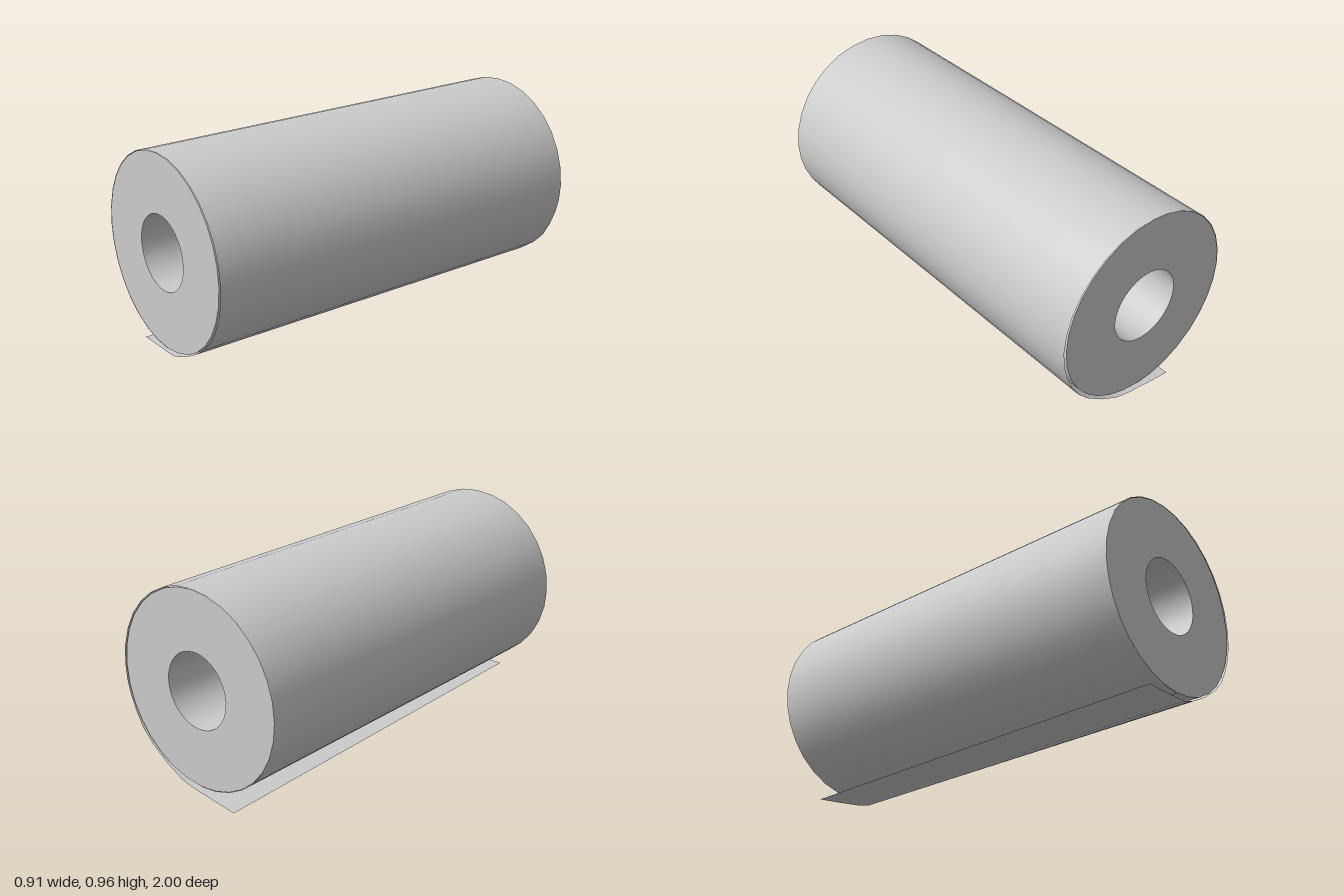
import * as THREE from 'three';
import { toCreasedNormals } from 'three/addons/utils/BufferGeometryUtils.js';

const CX = -0.005, CY = 0.508, R = 0.45, BORE = 0.175, LENGTH = 2, SIDES = 32;

// Thick hollow cylinder lying along z
function makeRoll(material) {
  const ring = new THREE.Shape();
  ring.absarc(0, 0, R, 0, Math.PI * 2, false);
  const hole = new THREE.Path();
  hole.absarc(0, 0, BORE, 0, Math.PI * 2, true);
  ring.holes.push(hole);
  const geometry = new THREE.ExtrudeGeometry(ring, {
    depth: LENGTH, bevelEnabled: false, curveSegments: SIDES / 2,
  });
  geometry.translate(CX, CY, -LENGTH / 2);
  const roll = new THREE.Mesh(toCreasedNormals(geometry, 0.6), material);
  roll.name = 'roll';
  return roll;
}

// Outer layer: wraps clockwise from the bottom, then leaves the roll on the right
function makeSheet(material) {
  // Each station is [x, y at front, y at back]
  const stations = [];
  for (let i = 0; i <= 24; i++) {
    const a = -Math.PI / 2 - (i / SIDES) * Math.PI * 2;
    const lift = 0.003 + 0.009 * Math.max(0, (i - 16) / 8);
    const x = CX + (R + lift) * Math.cos(a);
    const y = CY + (R + lift) * Math.sin(a);
    stations.push([x, y, y]);
  }
  // Free tail, slightly twisted so the back edge hangs lower
  stations.push(
    [0.451, 0.43, 0.43], [0.433, 0.36, 0.36], [0.40, 0.285, 0.282],
    [0.36, 0.223, 0.215], [0.30, 0.167, 0.155], [0.21, 0.105, 0.092],
    [0.12, 0.062, 0.046], [0.05, 0.038, 0.03], [-0.07, 0.035, 0.014], [-0.2, 0.034, 0],
  );

  const rows = 8, positions = [], index = [];
  stations.forEach(([x, front, back], s) => {
    for (let j = 0; j <= rows; j++) {
      const t = j / rows;
      positions.push(x, THREE.MathUtils.lerp(back, front, t), (t - 0.5) * LENGTH);
      if (s > 0 && j > 0) {
        const d = s * (rows + 1) + j, b = d - rows - 1;
        index.push(b - 1, b, d, b - 1, d, d - 1);
      }
    }
  });
  const geometry = new THREE.BufferGeometry();
  geometry.setAttribute('position', new THREE.Float32BufferAttribute(positions, 3));
  geometry.setIndex(index);
  geometry.computeVertexNormals();
  const sheet = new THREE.Mesh(geometry, material);
  sheet.name = 'looseSheet';
  return sheet;
}

export function createModel() {
  const group = new THREE.Group();
  group.name = 'paperRoll';
  group.add(makeRoll(new THREE.MeshStandardMaterial({ color: 0xcccccc })));
  group.add(makeSheet(new THREE.MeshStandardMaterial({ color: 0xcccccc, side: THREE.DoubleSide })));
  return group;
}
